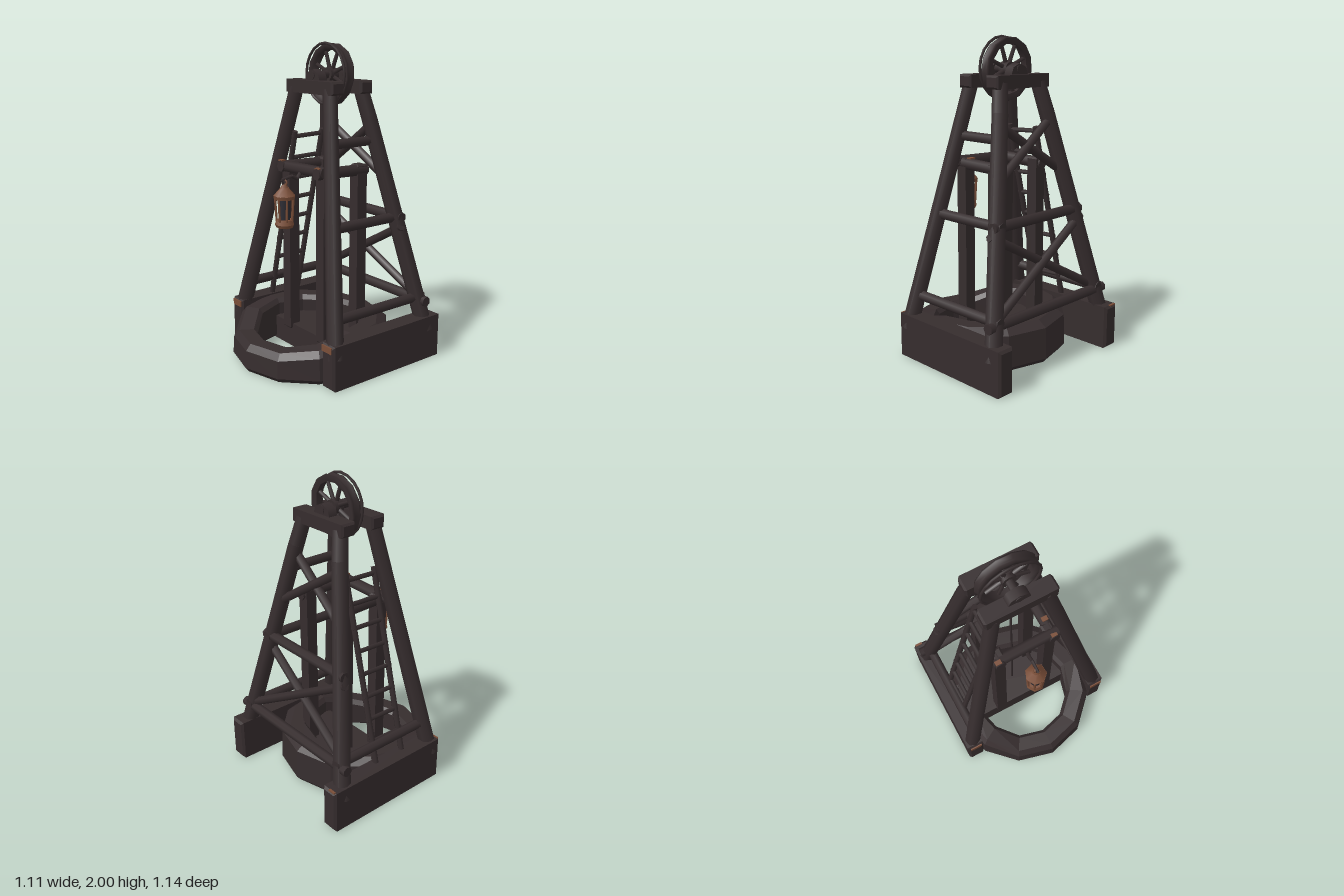
import * as THREE from 'three';

const mat = (name, color) => {
  const m = new THREE.MeshStandardMaterial({ color });
  m.name = name;
  return m;
};

export function createModel() {
  const model = new THREE.Group();
  model.name = 'mineHeadframe';
  const wood = mat('darkWood', 0x362d2e);
  const copper = mat('rustyCopper', 0x7a4e38);
  const glass = mat('sootyGlass', 0x2d2c33);

  const add = (name, geo, material, x = 0, y = 0, z = 0, parent = model) => {
    const m = new THREE.Mesh(geo, material);
    m.name = name;
    m.position.set(x, y, z);
    parent.add(m);
    return m;
  };
  // round timber between two points
  const beam = (name, a, b, r0, r1 = r0, sides = 7, material = wood, parent = model) => {
    const p = new THREE.Vector3(...a), q = new THREE.Vector3(...b);
    const d = q.clone().sub(p);
    const m = add(name, new THREE.CylinderGeometry(r1, r0, d.length(), sides), material, 0, 0, 0, parent);
    m.position.copy(p).add(q).multiplyScalar(0.5);
    m.quaternion.setFromUnitVectors(new THREE.Vector3(0, 1, 0), d.normalize());
    return m;
  };
  // squared timber with bevelled edges, lying along z
  const timber = (w, h, len, bevel) => {
    const s = new THREE.Shape();
    const a = w / 2 - bevel, b = h / 2 - bevel;
    s.moveTo(-a, -b); s.lineTo(a, -b); s.lineTo(a, b); s.lineTo(-a, b);
    const g = new THREE.ExtrudeGeometry(s, {
      depth: len - 2 * bevel, bevelThickness: bevel, bevelSize: bevel, bevelSegments: 1,
    });
    return g.translate(0, 0, -len / 2 + bevel);
  };

  // leg centre lines at a given height
  const legX = y => 0.5 - (y - 0.2) * 0.22;
  const frontZ = y => 0.28 - (y - 0.2) * 0.155;
  const backZ = y => -0.475 + (y - 0.2) * 0.182;
  const sideRail = (s, y) => beam('sideRail',
    [s * legX(y), y, frontZ(y) - 0.02], [s * legX(y), y, backZ(y) - 0.05], 0.032);

  // base skids, legs, guide posts and their top rails
  for (const s of [-1, 1]) {
    add('baseBeam', timber(0.115, 0.28, 0.89, 0.015), wood, s * 0.49, 0.14, -0.125);
    beam('frontLeg', [s * legX(0.18), 0.18, frontZ(0.18) - 0.012], [s * legX(1.72), 1.72, frontZ(1.72)], 0.054, 0.046);
    beam('backLeg', [s * legX(0.18), 0.18, backZ(0.18)], [s * legX(1.55), 1.55, backZ(1.55) - 0.005], 0.054, 0.05);
    beam('backLegTop', [s * legX(1.52), 1.52, backZ(1.52) - 0.005], [s * legX(1.72), 1.72, backZ(1.72)], 0.05, 0.047);
    for (const z of [0.09, -0.18])
      add('guidePost', timber(0.075, 0.075, 1.13, 0.012).rotateX(Math.PI / 2), wood, s * 0.175, 0.69, z);
    beam('guideRail', [s * 0.185, 1.225, 0.165], [s * 0.185, 1.215, -0.23], 0.036);
    sideRail(s, 0.4);
    // worn copper patch on the front end of the skid
    add('copperPatch', new THREE.BoxGeometry(0.085, 0.04, 0.008), copper, s * 0.487, 0.255, 0.322);
  }
  sideRail(1, 0.92);
  beam('upperSideRail', [0.22, 1.4, frontZ(1.4)], [0.22, 1.4, backZ(1.4)], 0.03);
  // small worn copper spots on the timber ends
  add('backCopperPatch', new THREE.BoxGeometry(0.05, 0.008, 0.015), copper, -0.51, 0.28, -0.56);
  for (const [x, z] of [[0.185, 0.145], [0.185, 0.03], [-0.195, 0.145]])
    add('railCopperPatch', new THREE.BoxGeometry(0.04, 0.008, 0.03), copper, x, 1.26, z);

  // round well curb, lower at the front and wider at the back
  const N = 12, cz = 0.08, pos = [], idx = [];
  for (let i = 0; i <= N; i++) {
    const a = (i / N) * Math.PI * 2, c = Math.cos(a), sn = Math.sin(a);
    const h = c > 0.8 ? 0.18 : c > 0.4 ? (sn > 0 ? 0.21 : 0.25) : 0.27;
    const w = c < -0.1 ? 0.025 : 0;
    const ring = [[0.47 + w, 0], [0.495 + w, 0.03], [0.488 + w, h - 0.04], [0.455, h], [0.36, h], [0.335, h - 0.03], [0.335, 0.02], [0.36, 0]];
    for (const [r, y] of ring) pos.push(sn * r, y, cz + c * r);
    if (i < N) for (let j = 0; j < 8; j++) {
      const k = (j + 1) % 8, p = i * 8;
      idx.push(p + j, p + 8 + j, p + k, p + 8 + j, p + 8 + k, p + k);
    }
  }
  let curb = new THREE.BufferGeometry();
  curb.setAttribute('position', new THREE.Float32BufferAttribute(pos, 3));
  curb.setIndex(idx);
  curb = curb.toNonIndexed();
  curb.computeVertexNormals();
  add('wellCurb', curb, wood);

  // half-round floor behind the shaft opening, flush with the ground
  const floor = new THREE.Shape();
  floor.moveTo(0.47, -0.03);
  for (let i = 0; i <= 6; i++) {
    const a = (i / 6) * Math.PI;
    floor.lineTo(0.47 * Math.cos(a), 0.47 * Math.sin(a));
  }
  floor.lineTo(-0.47, -0.03);
  add('backFloor', new THREE.ExtrudeGeometry(floor, { depth: 0.16, bevelEnabled: false })
    .rotateX(-Math.PI / 2), wood, 0, 0, cz);

  // back bracing: level rails and crossed struts
  for (const [y, half] of [[0.38, 0.53], [0.92, 0.39]])
    beam('backRail', [-half, y, backZ(y) - 0.015], [half, y, backZ(y) - 0.015], 0.033);
  for (const s of [-1, 1]) {
    beam('lowerCrossBrace', [s * 0.42, 0.42, backZ(0.42) - 0.01 * s], [-s * 0.4, 0.87, backZ(0.87) - 0.01 * s], 0.028);
    beam('upperCrossBrace', [s * 0.25, 1.19, backZ(1.19) - 0.01 * s], [-s * 0.2, 1.48, backZ(1.48) - 0.01 * s], 0.028);
  }

  // front crossbeam
  beam('lanternCrossbeam', [-0.225, 1.22, 0.125], [0.225, 1.235, 0.125], 0.036);

  // ladder leaning on the right side
  const ladderX = y => -0.47 + (y - 0.25) * 0.245;
  for (const z of [0.05, -0.17])
    beam('ladderRail', [ladderX(0.2), 0.2, z], [ladderX(1.44), 1.44, z], 0.019, 0.019, 6);
  for (let y = 0.41; y < 1.42; y += 0.142)
    beam('ladderRung', [ladderX(y), y, 0.065], [ladderX(y), y + 0.008, -0.185], 0.015, 0.015, 5);

  // head beams with bearing blocks
  for (const z of [0.035, -0.19])
    add('headBeam', timber(0.1, 0.08, 0.465, 0.012).rotateY(Math.PI / 2), wood, 0, 1.73, z);
  for (const z of [0.02, -0.17])
    add('bearingBlock', new THREE.CylinderGeometry(0.075, 0.075, 0.06, 8).rotateX(Math.PI / 2), wood, 0, 1.76, z);
  beam('wheelAxle', [0, 1.8, 0.055], [0, 1.8, -0.205], 0.026, 0.026, 8);

  // grooved pulley wheel
  const wheel = new THREE.Group();
  wheel.name = 'pulleyWheel';
  wheel.position.set(0, 1.8, -0.095);
  wheel.rotation.x = -0.05;
  model.add(wheel);
  const rim = [[0.152, -0.022], [0.188, -0.032], [0.194, -0.02], [0.178, 0], [0.194, 0.02], [0.188, 0.032], [0.152, 0.022], [0.152, -0.022]];
  add('wheelRim', new THREE.LatheGeometry(rim.map(p => new THREE.Vector2(...p)), 13).rotateX(Math.PI / 2), wood, 0, 0, 0, wheel);
  add('wheelHub', new THREE.CylinderGeometry(0.045, 0.045, 0.06, 10).rotateX(Math.PI / 2), wood, 0, 0, 0, wheel);
  for (let i = 0; i < 8; i++) {
    const a = (i / 8 + 1 / 16) * Math.PI * 2;
    beam('wheelSpoke', [0.03 * Math.cos(a), 0.03 * Math.sin(a), 0], [0.165 * Math.cos(a), 0.165 * Math.sin(a), 0], 0.014, 0.012, 5, wood, wheel);
  }

  // hoisting rope, looped round the wheel and hanging down the shaft
  const ropePath = new THREE.CatmullRomCurve3([
    [0, 1.62, -0.045], [0.004, 1.45, -0.06], [-0.004, 1.1, -0.05], [0.004, 0.7, -0.057], [0, 0.15, -0.055],
  ].map(p => new THREE.Vector3(...p)));
  add('rope', new THREE.TubeGeometry(ropePath, 16, 0.008, 5), wood);
  add('ropeLoop', new THREE.TorusGeometry(0.187, 0.009, 5, 20), wood, 0, 1.804, -0.05);

  // lantern bracket
  const arm = [[0, 1.22, 0.13], [0, 1.175, 0.17], [0, 1.195, 0.21], [0, 1.18, 0.285], [0, 1.14, 0.268]];
  for (let i = 0; i < 4; i++) beam('lanternArm', arm[i], arm[i + 1], 0.015 - i * 0.002, 0.013 - i * 0.002, 6);

  // hanging lantern
  const lantern = new THREE.Group();
  lantern.name = 'lantern';
  lantern.position.set(0, 0.88, 0.265);
  lantern.rotation.y = 0.3;
  model.add(lantern);
  const cyl = (name, rt, rb, h, y, material) =>
    add(name, new THREE.CylinderGeometry(rt, rb, h, 7), material, 0, y, 0, lantern);
  cyl('lanternFoot', 0.062, 0.052, 0.02, 0.01, copper);
  cyl('lanternBase', 0.052, 0.062, 0.03, 0.035, copper);
  cyl('lanternGlass', 0.034, 0.034, 0.15, 0.12, glass);
  cyl('lanternCollar', 0.07, 0.066, 0.022, 0.19, copper);
  cyl('lanternRoof', 0.026, 0.07, 0.05, 0.225, copper);
  cyl('lanternCap', 0.014, 0.026, 0.025, 0.26, copper);
  add('lanternRing', new THREE.TorusGeometry(0.018, 0.006, 5, 10), copper, 0, 0.282, 0, lantern);
  for (let i = 0; i < 7; i++) {
    const a = (i / 7) * Math.PI * 2, c = Math.sin(a), d = Math.cos(a);
    beam('lanternPost', [c * 0.05, 0.04, d * 0.05], [c * 0.059, 0.19, d * 0.059], 0.009, 0.009, 4, copper, lantern);
  }

  return model;
}
